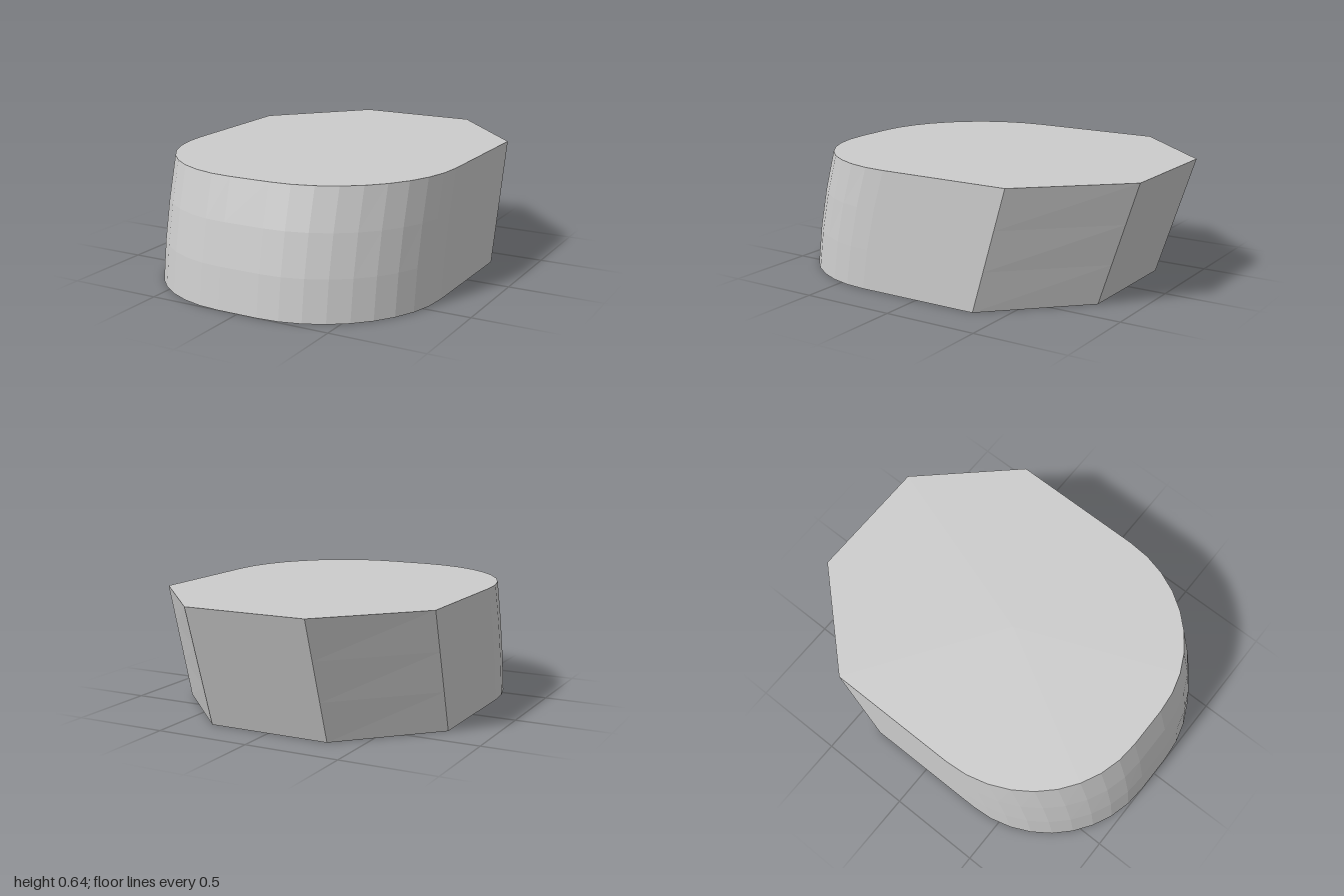
import * as THREE from 'three';

const HEIGHT = 0.64;
const BANDS = 3;
const STEPS = 9;

// Half outline at height fraction t, from the front centre edge round the +x side to the back
function halfOutline(t) {
  const mix = (a, b) => a + (b - a) * t;
  const bulge = 0.07 * t * (1 - t);
  const arcZ = mix(0.34, 0.19) + bulge;
  const arcDepth = mix(0.66, 0.68);
  const points = [];
  for (let i = 0; i <= STEPS; i++) {
    const a = (i / STEPS) * Math.PI / 2;
    points.push([0.11 + 0.66 * Math.sin(a), arcZ + arcDepth * Math.cos(a)]);
  }
  points.push([0.77, mix(-0.34, -0.525)], [0.33, mix(-0.79, -1)]);
  return points;
}

// Closed ring, mirrored across x = 0
function ring(t) {
  const half = halfOutline(t);
  const mirrored = half.map(([x, z]) => [-x, z]).reverse();
  return [...half, ...mirrored].map(([x, z]) => new THREE.Vector3(x, t * HEIGHT, z));
}

function bodyGeometry() {
  const rings = Array.from({ length: BANDS + 1 }, (_, i) => ring(i / BANDS));
  const count = rings[0].length;
  const top = rings[BANDS];
  const bottom = rings[0];
  const topCentre = new THREE.Vector3(0, HEIGHT, 0);
  const bottomCentre = new THREE.Vector3(0, 0, 0);
  const triangles = [];
  for (let j = 0; j < count; j++) {
    const k = (j + 1) % count;
    // Leaning wall
    for (let i = 0; i < BANDS; i++) {
      const lo = rings[i], hi = rings[i + 1];
      triangles.push(lo[j], lo[k], hi[k], lo[j], hi[k], hi[j]);
    }
    // Flat top and bottom
    triangles.push(topCentre, top[j], top[k], bottomCentre, bottom[k], bottom[j]);
  }
  const geometry = new THREE.BufferGeometry().setFromPoints(triangles);
  geometry.computeVertexNormals();
  return geometry;
}

export function createModel() {
  const group = new THREE.Group();
  group.name = 'leaningBlock';
  const material = new THREE.MeshStandardMaterial({ color: 0xcccccc, flatShading: true });
  const body = new THREE.Mesh(bodyGeometry(), material);
  body.name = 'body';
  group.add(body);
  return group;
}
